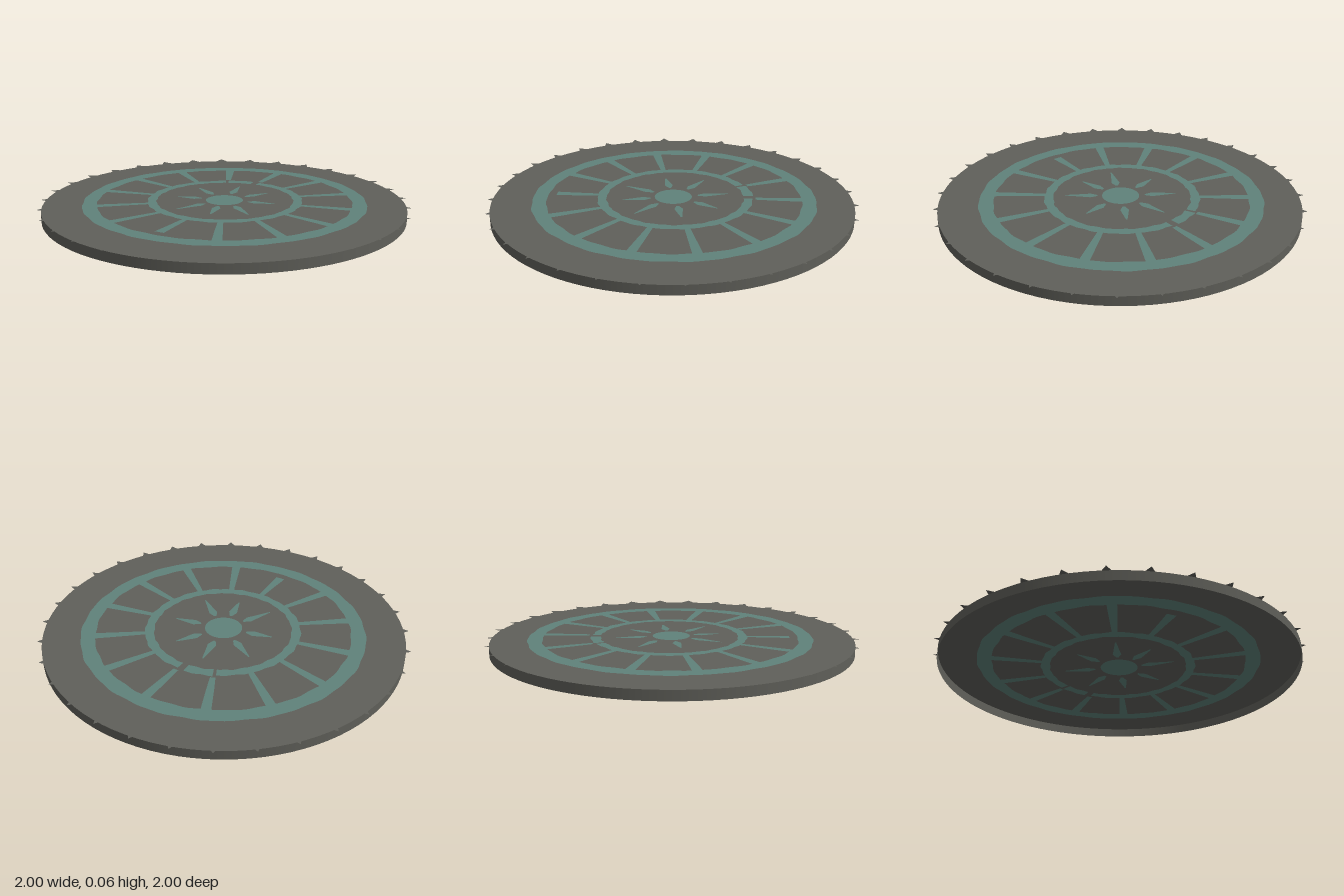
import * as THREE from 'three';

const mat = (name, color) =>
  new THREE.MeshStandardMaterial({ name, color, side: THREE.DoubleSide });

// Point at radius r, angle a clockwise from the back (-z), pattern centre shifted by cy
const polar = (r, a, cy) => new THREE.Vector2(r * Math.sin(a), r * Math.cos(a) + cy);

// Slightly uneven hand-painted band between two radii, from angle a0 to a1
function band(r0, r1, a0, a1, cy) {
  const n = 180, outer = [], inner = [];
  const wobble = (a) => 0.002 * Math.sin(a * 17) + 0.002 * Math.sin(a * 31 + 1);
  for (let i = 0; i <= n; i++) {
    const a = a0 + (a1 - a0) * i / n;
    outer.push(polar(r1 + wobble(a), a, cy));
    inner.unshift(polar(r0 - wobble(a), a, cy));
  }
  return new THREE.Shape([...outer, ...inner]);
}

// Radial strip given as [radius, half width] pairs from inside to outside
function strip(profile, angle, cy) {
  const origin = new THREE.Vector2(), shift = new THREE.Vector2(0, cy);
  const left = profile.map(([r, w]) => new THREE.Vector2(-w, r));
  const right = profile.map(([r, w]) => new THREE.Vector2(w, r)).reverse();
  return new THREE.Shape([...left, ...right].map(
    (p) => p.rotateAround(origin, -angle).add(shift)));
}

export function createModel() {
  const stone = mat('dark stone', 0x60605a);
  const teal = mat('muted teal', 0x60827b);
  const model = new THREE.Group();
  const H = 0.051, R = 0.98, TURN = Math.PI * 2;

  const add = (parent, name, geometry, material, y) => {
    const m = new THREE.Mesh(geometry, material);
    m.name = name;
    m.position.y = y;
    parent.add(m);
    return m;
  };

  // Shallow shell, open underneath: rim wall and top face
  add(model, 'rimWall', new THREE.CylinderGeometry(R, R, H, 96, 1, true), stone, H / 2);
  add(model, 'topFace', new THREE.CircleGeometry(R, 96).rotateX(-Math.PI / 2), stone, H);

  // Flat triangular teeth lying just above the rim, pointing outward
  const tooth = new THREE.CircleGeometry(0.06, 3).rotateX(-Math.PI / 2).translate(0.945, 0, 0);
  const teeth = new THREE.Group();
  teeth.name = 'rimTeeth';
  for (let i = 0; i < 32; i++) {
    add(teeth, 'tooth', tooth, stone, 0.059).rotation.y = (i + 0.5) * Math.PI / 16;
  }
  model.add(teeth);

  // Painted wheel pattern
  const spokes = [];
  for (let i = 0; i < 14; i++) {
    const start = i === 0 || i === 13 ? 0.445 : 0.4;
    const end = i === 7 ? 0.65 : 0.71;
    spokes.push(strip([[start, 0.014], [0.55, 0.02], [end, 0.026]], (i + 0.5) * Math.PI / 7, 0.01));
  }
  // Rays as [angle, tip radius]
  const rays = [[0.02, 0.3], [0.77, 0.28], [1.59, 0.28], [2.46, 0.31],
    [3.13, 0.285], [3.82, 0.31], [4.69, 0.275], [5.48, 0.3]]
    .map(([a, tip]) => strip([[0.13, 0.006], [0.17, 0.023], [0.2, 0.018], [tip, 0.003]], a, 0.01));
  const parts = {
    outerRing: [band(0.694, 0.772, 0, TURN, 0.01)],
    innerRing: [band(0.375, 0.424, 0.23, TURN - 0.26, 0.015),
      band(0.375, 0.43, TURN - 0.22, TURN + 0.14, 0.015)],
    spokes,
    rays,
    hub: [new THREE.Shape().absarc(0, 0.005, 0.102, 0, TURN)],
  };

  // The pattern shows on both sides of the top face
  for (const [name, y] of [['upperPattern', H + 0.001], ['lowerPattern', H - 0.001]]) {
    const pattern = new THREE.Group();
    pattern.name = name;
    for (const [part, shapes] of Object.entries(parts)) {
      add(pattern, part, new THREE.ShapeGeometry(shapes, 24).rotateX(-Math.PI / 2), teal, y);
    }
    model.add(pattern);
  }
  return model;
}
